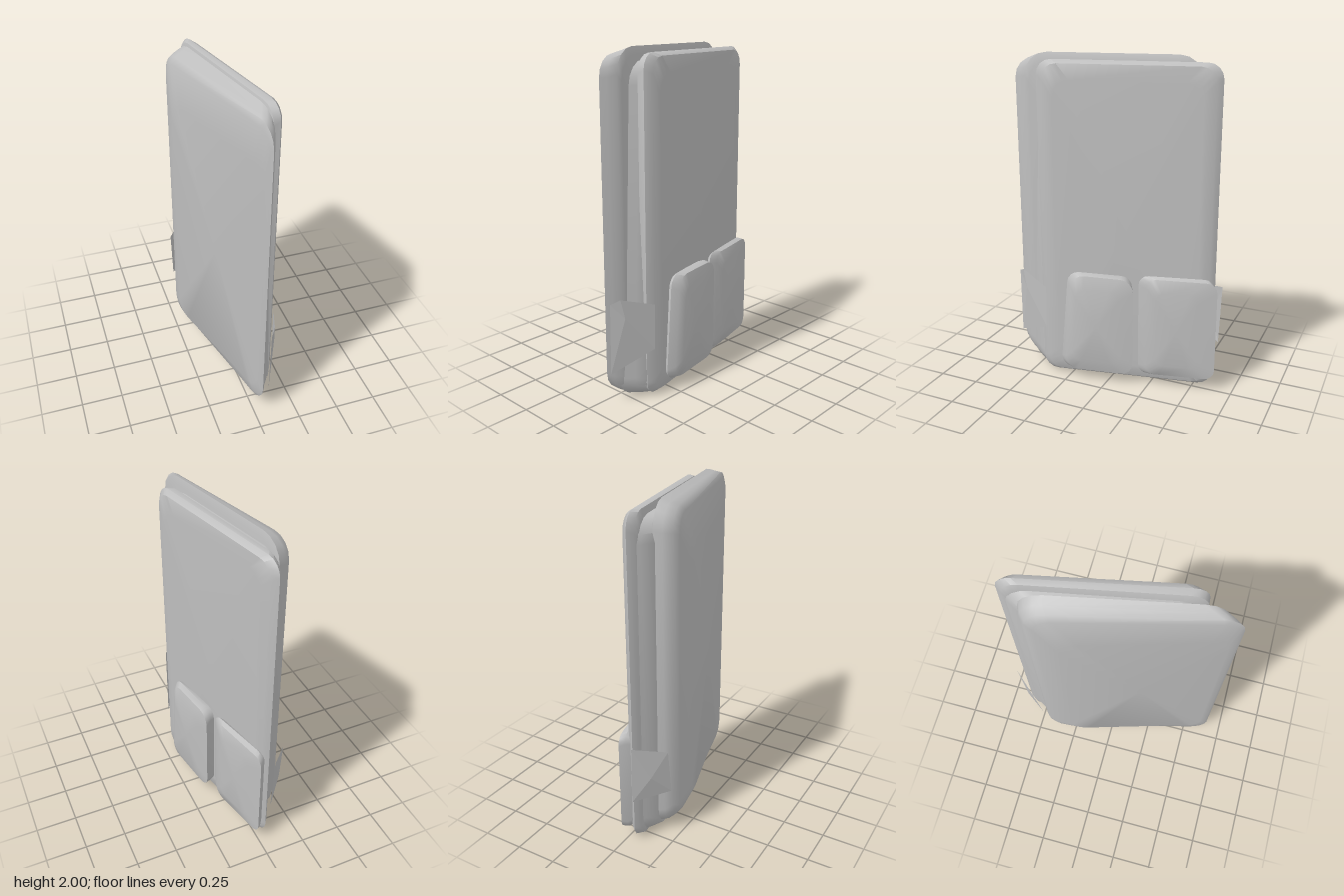
import * as THREE from 'three';
import { toCreasedNormals } from 'three/addons/utils/BufferGeometryUtils.js';

const fabric = new THREE.MeshStandardMaterial({ color: 0xbebebe });
fabric.name = 'greyFabric';
fabric.side = THREE.DoubleSide;

// Upright rounded panel between two plan points: back (xb, zb) and front (xf, zf)
function ring([xb, zb, xf, zf, y0, y1, r], slant) {
  const length = Math.hypot(xf - xb, zf - zb), steps = 4, points = [];
  const corners = [
    [length - r, y0 + r, 0], [r, y0 + r, 1], [r, y1 - r, 2], [length - r, y1 - r, 3],
  ];
  for (const [cu, cy, quarter] of corners) {
    for (let i = 0; i <= steps; i++) {
      const a = (quarter + i / steps) * Math.PI / 2;
      const y = cy - r * Math.sin(a);
      let t = (cu + r * Math.cos(a)) / length;
      if (t > 0.5) t -= slant * (y - y0) / (y1 - y0);
      points.push(new THREE.Vector3(xb + (xf - xb) * t, y, zb + (zf - zb) * t));
    }
  }
  return points;
}

// Loft through panels listed from -x to +x, closed at both ends
function loft(name, layers, slant = 0) {
  const rings = layers.map(l => ring(l, slant)), n = rings[0].length;
  const pos = [];
  const tri = (...p) => p.forEach(v => pos.push(v.x, v.y, v.z));
  const centre = r => r.reduce((s, p) => s.add(p), new THREE.Vector3()).divideScalar(n);
  const first = rings[0], last = rings[rings.length - 1];
  const c0 = centre(first), c1 = centre(last);
  for (let j = 0; j < n; j++) {
    const k = (j + 1) % n;
    for (let i = 0; i < rings.length - 1; i++) {
      const a = rings[i], b = rings[i + 1];
      tri(a[j], a[k], b[k]);
      tri(a[j], b[k], b[j]);
    }
    tri(c0, first[k], first[j]);
    tri(c1, last[j], last[k]);
  }
  const g = new THREE.BufferGeometry();
  g.setAttribute('position', new THREE.Float32BufferAttribute(pos, 3));
  const mesh = new THREE.Mesh(toCreasedNormals(g, 0.8), fabric);
  mesh.name = name;
  return mesh;
}

// Thin faceted side flap: a fan from a raised centre
function flap(name, peak, rim) {
  const pos = [];
  rim.forEach((p, i) => pos.push(...peak, ...p, ...rim[(i + 1) % rim.length]));
  const g = new THREE.BufferGeometry();
  g.setAttribute('position', new THREE.Float32BufferAttribute(pos, 3));
  g.computeVertexNormals();
  const mesh = new THREE.Mesh(g, fabric);
  mesh.name = name;
  return mesh;
}

export function createModel() {
  const model = new THREE.Group();
  model.name = 'slimBag';

  model.add(
    // Plain side of the body, bulging slightly outwards
    loft('plainShell', [
      [-0.230, -0.24, 0.020, 0.600, 0.16, 1.72, 0.10],
      [-0.222, -0.37, 0.032, 0.632, 0.10, 1.93, 0.10],
      [-0.208, -0.42, 0.045, 0.645, 0.075, 1.965, 0.12],
      [-0.170, -0.455, 0.065, 0.610, 0.04, 1.98, 0.13],
      [-0.125, -0.475, 0.085, 0.560, 0.02, 2.0, 0.14],
      [-0.110, -0.460, 0.090, 0.530, 0.03, 1.96, 0.13],
    ]),
    // Middle, flush low down and sunk at the front towards the top
    loft('gusset', [
      [-0.135, -0.47, 0.075, 0.575, 0.012, 1.93, 0.13],
      [-0.095, -0.54, 0.125, 0.505, 0.006, 1.93, 0.13],
      [-0.060, -0.59, 0.160, 0.445, 0.006, 1.93, 0.12],
    ], 0.08),
    // Pocket side of the body
    loft('pocketShell', [
      [-0.085, -0.54, 0.100, 0.425, 0.02, 1.93, 0.10],
      [-0.080, -0.575, 0.120, 0.445, 0.0, 1.965, 0.10],
      [-0.055, -0.610, 0.160, 0.440, 0.008, 1.97, 0.09],
      [-0.018, -0.585, 0.184, 0.395, 0.03, 1.95, 0.09],
      [0.000, -0.52, 0.178, 0.33, 0.10, 1.86, 0.10],
    ]),
    // Two puffed pockets
    loft('frontPocket', [
      [0.060, -0.12, 0.160, 0.30, 0.085, 0.69, 0.06],
      [0.110, -0.145, 0.188, 0.305, 0.065, 0.71, 0.07],
      [0.145, -0.165, 0.215, 0.265, 0.07, 0.70, 0.08],
      [0.175, -0.085, 0.228, 0.21, 0.14, 0.62, 0.06],
    ], 0.12),
    loft('backPocket', [
      [-0.040, -0.585, 0.070, -0.19, 0.09, 0.70, 0.05],
      [-0.015, -0.620, 0.095, -0.18, 0.07, 0.72, 0.06],
      [0.013, -0.645, 0.108, -0.235, 0.08, 0.71, 0.06],
      [0.050, -0.54, 0.108, -0.30, 0.15, 0.63, 0.05],
    ]),
    // Thin flaps on the two narrow ends
    flap('frontFlap', [0.130, 0.53, 0.575], [
      [0.08, 0.20, 0.645], [0.19, 0.31, 0.405], [0.19, 0.58, 0.40],
      [0.12, 0.645, 0.60], [0.085, 0.62, 0.645],
    ]),
    flap('backFlap', [-0.15, 0.45, -0.570], [
      [-0.065, 0.30, -0.64], [-0.215, 0.32, -0.455], [-0.215, 0.60, -0.49],
      [-0.075, 0.66, -0.65],
    ]),
  );
  return model;
}
